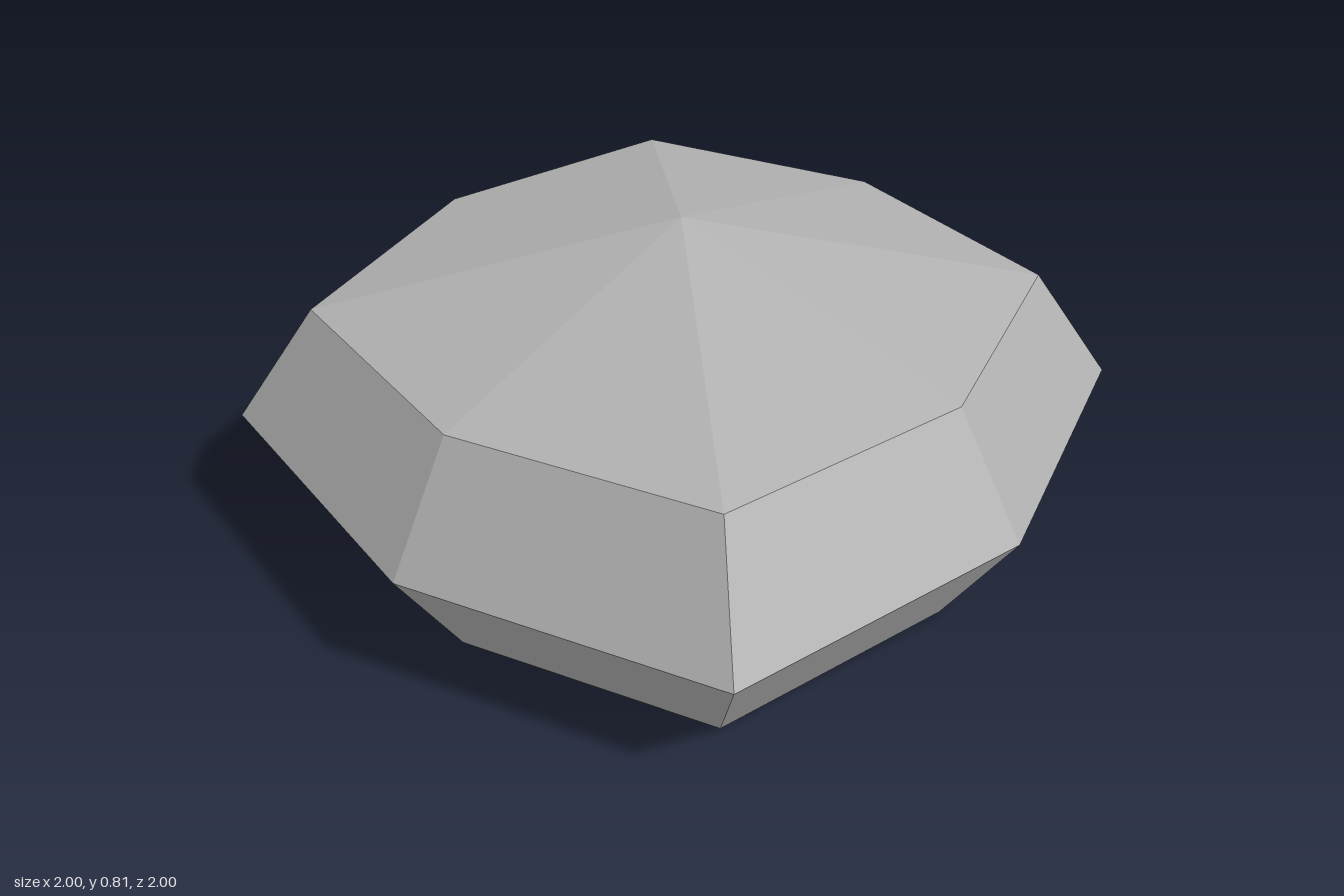
import * as THREE from 'three';

export function createModel() {
  const group = new THREE.Group();
  group.name = 'facetedStone';
  const stoneGrey = new THREE.MeshStandardMaterial({ name: 'stoneGrey', color: 0xb0b0b0, flatShading: true });

  // Eight-sided body: flat base, widest at the girdle, shallow pointed top
  const profile = [[0, 0], [0.815, 0], [1, 0.3], [0.815, 0.6], [0, 0.81]].map(([r, y]) => new THREE.Vector2(r, y));
  const geometry = new THREE.LatheGeometry(profile, 8);

  // Push the diagonal corners out for a squarer outline
  const pos = geometry.attributes.position;
  for (let i = 0; i < pos.count; i++) {
    const x = pos.getX(i), z = pos.getZ(i);
    if (Math.abs(x) > 0.1 && Math.abs(z) > 0.1) pos.setXYZ(i, x * 1.125, pos.getY(i), z * 1.125);
  }
  const faceted = geometry.toNonIndexed();
  faceted.computeVertexNormals();

  const body = new THREE.Mesh(faceted, stoneGrey);
  body.name = 'stoneBody';
  group.add(body);
  return group;
}
